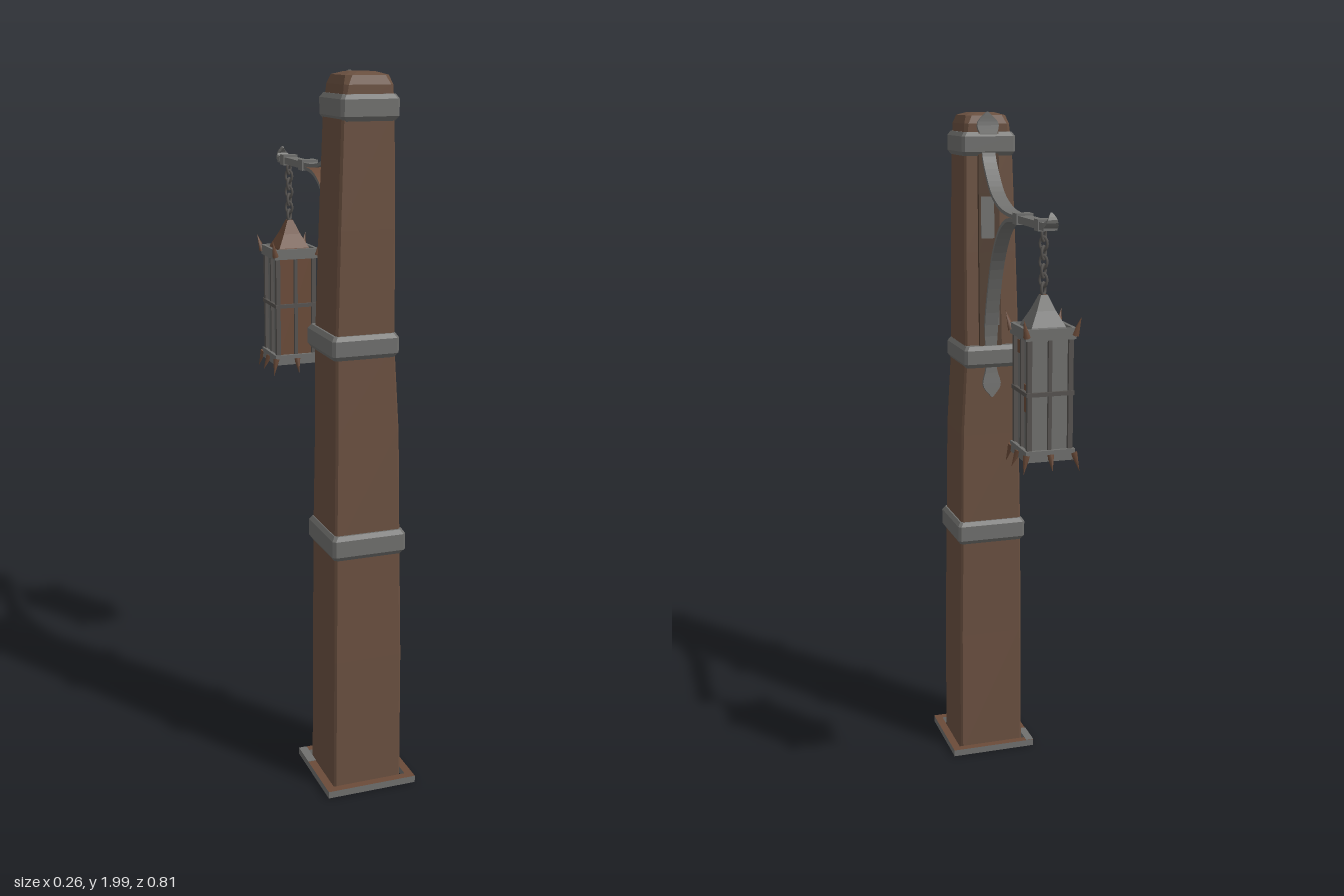
import * as THREE from 'three';

const mat = (name, color) => {
  const m = new THREE.MeshStandardMaterial({ color });
  m.name = name;
  return m;
};

export function createModel() {
  const wood = mat('wood', 0x6a5040);
  const darkWood = mat('dark wood', 0x523f32);
  const iron = mat('iron', 0x70706e);
  const darkIron = mat('dark iron', 0x565350);
  const rust = mat('rust', 0x6b4b39);

  const root = new THREE.Group();
  root.name = 'lanternPost';

  const add = (name, geo, material, parent = root) => {
    const mesh = new THREE.Mesh(geo, material);
    mesh.name = name;
    parent.add(mesh);
    return mesh;
  };
  const box = (name, size, pos, material, parent = root) => {
    const mesh = add(name, new THREE.BoxGeometry(...size), material, parent);
    mesh.position.set(...pos);
    return mesh;
  };

  // Skins a list of equal rings with flat faces; one geometry group per side
  function skin(rings) {
    const pos = [];
    const geo = new THREE.BufferGeometry();
    const tri = (...pts) => pts.forEach((p) => pos.push(...p));
    const n = rings[0].length;
    for (let j = 0; j < n; j++) {
      const k = (j + 1) % n, start = pos.length / 3;
      for (let i = 0; i < rings.length - 1; i++) {
        const [a, b, c, d] = [rings[i][j], rings[i][k], rings[i + 1][k], rings[i + 1][j]];
        tri(a, b, c);
        tri(a, c, d);
      }
      geo.addGroup(start, pos.length / 3 - start, j);
    }
    const start = pos.length / 3, first = rings[0], last = rings[rings.length - 1];
    for (let j = 1; j < n - 1; j++) {
      tri(first[0], first[j + 1], first[j]);
      tri(last[0], last[j], last[j + 1]);
    }
    geo.addGroup(start, pos.length / 3 - start, 0);
    geo.setAttribute('position', new THREE.Float32BufferAttribute(pos, 3));
    geo.computeVertexNormals();
    return geo;
  }

  // Rectangle with cut corners at height y
  const cutRect = (y, x0, x1, z0, z1, c) => [
    [x0 + c, y, z1], [x1 - c, y, z1], [x1, y, z1 - c], [x1, y, z0 + c],
    [x1 - c, y, z0], [x0 + c, y, z0], [x0, y, z0 + c], [x0, y, z1 - c],
  ];

  // Flat strap bent in the yz plane; each point is [y, z, halfWidth]
  function strap(points, thickness, steps = 28) {
    const curve = new THREE.CatmullRomCurve3(points.map(([y, z, w]) => new THREE.Vector3(w, y, z)));
    const rings = [];
    for (let i = 0; i <= steps; i++) {
      const p = curve.getPoint(i / steps);
      const t = curve.getTangent(i / steps).setX(0).normalize();
      const v = t.cross(new THREE.Vector3(1, 0, 0)).multiplyScalar(thickness / 2);
      const w = Math.max(p.x, 0.001);
      rings.push([[-w, p.y - v.y, p.z - v.z], [w, p.y - v.y, p.z - v.z],
        [w, p.y + v.y, p.z + v.z], [-w, p.y + v.y, p.z + v.z]]);
    }
    return skin(rings);
  }

  // Four bars around a square
  function frame(name, half, y, h, t, z, material, parent = root) {
    const g = new THREE.Group();
    g.name = name;
    g.position.set(0, y, z);
    for (const s of [-1, 1]) {
      box('frameBar', [half * 2, h, t], [0, 0, s * (half - t / 2)], material, g);
      box('frameBar', [t, h, half * 2 - t * 2], [s * (half - t / 2), 0, 0], material, g);
    }
    parent.add(g);
  }

  // Crooked tapering post
  add('post', skin([
    [0.004, -0.103, 0.1, 0.175, 0.37, 0.006],
    [0.4, -0.101, 0.098, 0.176, 0.368, 0.006],
    [0.74, -0.099, 0.092, 0.176, 0.362, 0.006],
    [1.05, -0.093, 0.089, 0.175, 0.352, 0.006],
    [1.29, -0.092, 0.076, 0.173, 0.345, 0.006],
    [1.6, -0.085, 0.073, 0.184, 0.345, 0.006],
    [1.9, -0.076, 0.068, 0.193, 0.343, 0.006],
    [1.965, -0.068, 0.066, 0.192, 0.341, 0.01],
    [1.988, -0.06, 0.058, 0.2, 0.333, 0.014],
    [1.996, -0.035, 0.034, 0.225, 0.305, 0.014],
  ].map((s) => cutRect(...s))), wood);

  // Iron bands with softened edges
  const bands = [
    [0.705, 0.775, -0.109, 0.104, 0.163, 0.375],
    [1.26, 1.325, -0.105, 0.084, 0.147, 0.358],
    [1.875, 1.942, -0.081, 0.079, 0.176, 0.352],
  ];
  for (const [y0, y1, x0, x1, z0, z1] of bands) {
    add('ironBand', skin([[y0, 0.008], [y0 + 0.012, 0], [y1 - 0.012, 0], [y1, 0.008]].map(
      ([y, i]) => cutRect(y, x0 + i, x1 - i, z0 + i, z1 - i, 0.008))), iron);
  }

  // Base frame, worn brown on top
  frame('baseFrame', 0.132, 0.015, 0.02, 0.023, 0.272, [iron, iron, rust, iron, iron, iron]);
  box('baseFrameWornCorner', [0.024, 0.004, 0.085], [-0.1205, 0.0245, 0.184], iron);

  // Backing plate on the back of the post, with bare patches
  add('backPlate', strap([[1.3, 0.168, 0.034], [1.6, 0.18, 0.032], [1.94, 0.188, 0.03]], 0.014, 4), darkWood);
  for (const [x, y, z, w, h] of [[0.005, 1.7, 0.176, 0.04, 0.12], [-0.012, 1.42, 0.1655, 0.03, 0.07]]) {
    box('platePatch', [w, h, 0.003], [x, y, z], iron).rotation.x = 0.04;
  }

  // Upper strap with a leaf tip, sweeping down into the arm
  add('upperStrap', strap([
    [1.998, 0.191, 0.002], [1.965, 0.19, 0.032], [1.925, 0.183, 0.022], [1.88, 0.182, 0.02], [1.82, 0.14, 0.02],
    [1.77, 0.085, 0.02], [1.74, 0.01, 0.02], [1.73, -0.06, 0.02], [1.728, -0.13, 0.02],
  ], 0.01), iron);

  // Lower brace with a spear tip
  add('lowerBrace', strap([
    [1.17, 0.154, 0.002], [1.205, 0.157, 0.027], [1.26, 0.162, 0.016], [1.37, 0.162, 0.02], [1.5, 0.127, 0.02],
    [1.6, 0.082, 0.02], [1.675, 0.02, 0.02], [1.71, -0.045, 0.02], [1.72, -0.13, 0.02],
  ], 0.01), [rust, iron, iron, iron]);

  // Arm bar, collars and upturned tip
  box('armBar', [0.038, 0.02, 0.24], [0, 1.724, -0.25], iron);
  box('armCollar', [0.048, 0.03, 0.036], [0, 1.725, -0.143], iron);
  box('armCollar', [0.044, 0.03, 0.034], [0, 1.725, -0.32], iron);
  add('armTip', strap([
    [1.724, -0.35, 0.02], [1.727, -0.372, 0.02], [1.74, -0.383, 0.014], [1.758, -0.373, 0.002],
  ], 0.012, 10), iron);

  // Chain of alternating links
  const lanternZ = -0.318;
  for (let i = 0; i < 7; i++) {
    const link = add('chainLink', new THREE.TorusGeometry(0.011, 0.0038, 6, 12), darkIron);
    link.position.set(0, 1.7 - i * 0.0235, lanternZ);
    link.scale.y = 1.45;
    link.rotation.y = Math.PI / 4 + (i % 2) * Math.PI / 2;
  }

  // Lantern
  const lantern = new THREE.Group();
  lantern.name = 'lantern';
  lantern.position.z = lanternZ;
  root.add(lantern);

  const square = (y, h) => [[-h, y, h], [h, y, h], [h, y, -h], [-h, y, -h]];
  add('lanternRoof', skin([square(1.435, 0.054), square(1.465, 0.047), square(1.505, 0.026),
    square(1.545, 0.009)]), [rust, iron, iron, rust], lantern);
  box('lanternPanels', [0.106, 0.315, 0.106], [0, 1.29, 0], [iron, iron, rust, rust, rust, iron], lantern);
  box('rustPatch', [0.003, 0.075, 0.036], [0.054, 1.275, -0.028], rust, lantern);
  box('rustPatch', [0.003, 0.035, 0.03], [0.054, 1.405, 0.032], rust, lantern);

  // Cage bars at the corners and the middle of each side
  for (const sx of [-1, 0, 1]) {
    for (const sz of [-1, 0, 1]) {
      if (!sx && !sz) continue;
      const t = sx && sz ? 0.013 : 0.01;
      box('cageBar', [t, 0.32, t], [sx * 0.057, 1.29, sz * 0.057], darkIron, lantern);
    }
  }
  frame('topFrame', 0.069, 1.45, 0.03, 0.01, 0, iron, lantern);
  frame('middleFrame', 0.066, 1.292, 0.011, 0.009, 0, darkIron, lantern);
  frame('bottomFrame', 0.069, 1.126, 0.03, 0.01, 0, iron, lantern);

  // Cross bars under the lantern
  for (const size of [[0.13, 0.012, 0.014], [0.014, 0.012, 0.13]]) {
    box('bottomCross', size, [0, 1.125, 0], darkIron, lantern);
  }

  // Spikes leaning outwards from the frames
  const spike = (x, y, z, dir, length) => {
    const d = new THREE.Vector3(...dir).normalize();
    const s = add('spike', new THREE.ConeGeometry(0.01, length, 6), rust, lantern);
    s.position.set(x, y, z).addScaledVector(d, length / 2);
    s.quaternion.setFromUnitVectors(new THREE.Vector3(0, 1, 0), d);
  };
  for (let i = 0; i < 4; i++) {
    const a = i * Math.PI / 2, c = Math.cos(a), s = Math.sin(a);
    const px = c - s, pz = s + c;
    spike(px * 0.066, 1.445, pz * 0.066, [px * 0.25, 1, pz * 0.25], 0.053);
    spike(px * 0.066, 1.13, pz * 0.066, [px * 0.25, -1, pz * 0.25], 0.053);
    spike(c * 0.068, 1.128, s * 0.068, [c * 0.45, -1, s * 0.45], 0.046);
  }
  return root;
}
